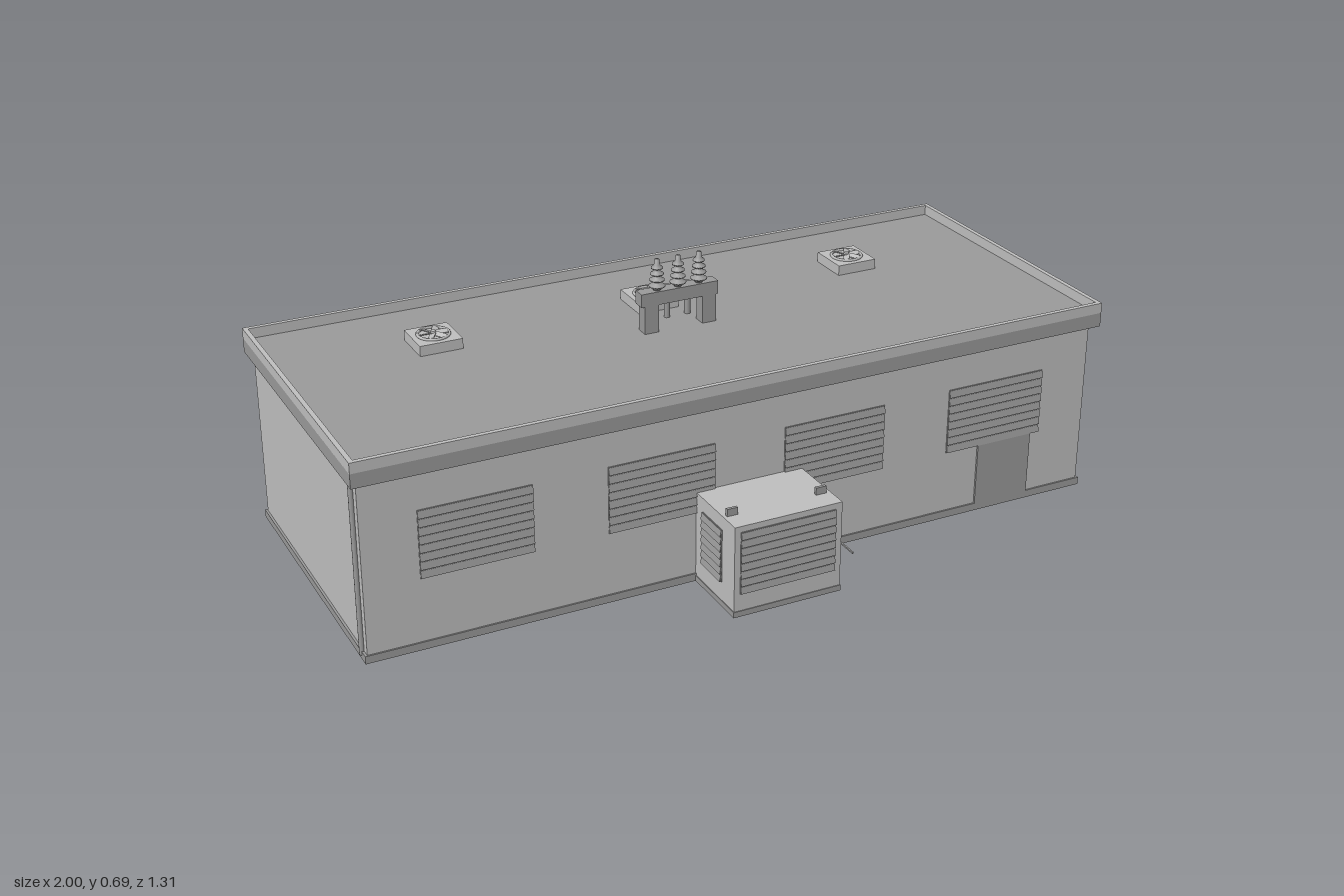
import * as THREE from 'three';

export function createModel() {
  const model = new THREE.Group();
  const mat = (name, color) => {
    const m = new THREE.MeshStandardMaterial({ color });
    m.name = name;
    return m;
  };
  const light = mat('light grey wall', 0xc0c0c0);
  const dark = mat('mid grey metal', 0x9b9b9b);

  const add = (name, geometry, material, parent = model) => {
    const mesh = new THREE.Mesh(geometry, material);
    mesh.name = name;
    parent.add(mesh);
    return mesh;
  };
  // Box given by its limits on each axis
  const box = (name, x0, x1, y0, y1, z0, z1, material, parent) => {
    const mesh = add(name, new THREE.BoxGeometry(x1 - x0, y1 - y0, z1 - z0), material, parent);
    mesh.position.set((x0 + x1) / 2, (y0 + y1) / 2, (z0 + z1) / 2);
    return mesh;
  };
  const cylinder = (name, r0, r1, x, y0, y1, z, material, sides = 16, parent = model) => {
    const mesh = add(name, new THREE.CylinderGeometry(r1, r0, y1 - y0, sides), material, parent);
    mesh.position.set(x, (y0 + y1) / 2, z);
    return mesh;
  };
  // Slatted panel facing +z, with its back at the group origin
  const louver = (name, width, height, slats) => {
    const group = new THREE.Group();
    group.name = name;
    box('louverBacking', -width / 2, width / 2, -height / 2, height / 2, 0, 0.002, dark, group);
    const pitch = height / slats;
    for (let i = 0; i < slats; i++) {
      const slat = add('louverSlat', new THREE.BoxGeometry(width, pitch * 0.85, 0.002), dark, group);
      slat.position.set(0, -height / 2 + (i + 0.5) * pitch, 0.004);
      slat.rotation.x = -0.2;
    }
    model.add(group);
    return group;
  };

  // Main hall
  box('hallWalls', -0.982, 0.982, 0.015, 0.462, -0.368, 0.407, light);
  box('hallPlinth', -0.988, 0.988, 0, 0.02, -0.373, 0.411, dark);
  for (const s of [-1, 1]) {
    cylinder('downpipe', 0.007, 0.007, s * 0.985, 0.01, 0.462, 0.38, dark, 10);
  }

  // Roof slab with a raised rim
  box('roofSlab', -1, 1, 0.46, 0.497, -0.39, 0.43, dark);
  const rim = new THREE.Shape();
  rim.moveTo(-1, -0.43).lineTo(1, -0.43).lineTo(1, 0.39).lineTo(-1, 0.39).closePath();
  const opening = new THREE.Path();
  opening.moveTo(-0.988, -0.418).lineTo(-0.988, 0.378).lineTo(0.988, 0.378).lineTo(0.988, -0.418).closePath();
  rim.holes.push(opening);
  const rimMesh = add('roofRim', new THREE.ExtrudeGeometry(rim, { depth: 0.028, bevelEnabled: false }), light);
  rimMesh.rotation.x = -Math.PI / 2;
  rimMesh.position.y = 0.496;

  // Front louvers and door
  for (const x of [-0.705, -0.235, 0.235, 0.705]) {
    louver('wallLouver', 0.28, 0.175, 8).position.set(x, 0.273, 0.407);
  }
  box('door', 0.66, 0.82, 0.02, 0.19, 0.405, 0.412, dark);

  // Rear window flaps, standing open
  for (let i = 0; i < 6; i++) {
    const x = -0.785 + i * 0.3135;
    box('windowFlap', x - 0.057, x + 0.057, 0.343, 0.347, -0.417, -0.366, light);
  }

  // Roof fans
  for (const x of [-0.59, 0, 0.587]) {
    const fan = new THREE.Group();
    fan.name = 'roofFan';
    fan.position.set(x, 0.497, -0.143);
    box('fanBox', -0.056, 0.056, 0, 0.027, -0.056, 0.056, light, fan);
    const ring = add('fanRing', new THREE.TorusGeometry(0.04, 0.004, 6, 24), light, fan);
    ring.rotation.x = Math.PI / 2;
    ring.position.y = 0.029;
    for (let i = 0; i < 6; i++) {
      const blade = add('fanBlade', new THREE.BoxGeometry(0.034, 0.002, 0.016).translate(0.021, 0, 0), light, fan);
      blade.rotation.set(0.3, i * Math.PI / 3, 0, 'YXZ');
      blade.position.y = 0.031;
    }
    cylinder('fanHub', 0.01, 0.006, 0, 0.025, 0.037, 0, light, 12, fan);
    model.add(fan);
  }

  // Insulator gantry
  box('gantryBeam', -0.108, 0.105, 0.57, 0.605, 0.002, 0.036, dark);
  for (const s of [-1, 1]) {
    box('gantryLeg', s * 0.08 - 0.019, s * 0.08 + 0.019, 0.495, 0.572, 0.002, 0.036, dark);
  }
  const profile = [new THREE.Vector2(0, 0), new THREE.Vector2(0.01, 0)];
  for (let i = 0; i < 4; i++) {
    const y = 0.008 + i * 0.016;
    const r = 0.021 - i * 0.002;
    profile.push(new THREE.Vector2(0.009, y), new THREE.Vector2(r, y + 0.002),
      new THREE.Vector2(r, y + 0.005), new THREE.Vector2(0.008, y + 0.011));
  }
  profile.push(new THREE.Vector2(0.006, 0.082), new THREE.Vector2(0, 0.082));
  const insulator = new THREE.LatheGeometry(profile, 16);
  for (const x of [-0.058, 0, 0.058]) {
    add('insulator', insulator, dark).position.set(x, 0.604, 0.02);
    cylinder('cablePost', 0.008, 0.008, x, 0.495, 0.585, -0.042, dark, 10);
  }

  // Front and rear annexes
  for (const [name, z0, z1, lugZ] of [['front', 0.4, 0.605, 0.545], ['rear', -0.567, -0.36, -0.513]]) {
    box(name + 'Annex', -0.145, 0.143, 0.012, 0.241, z0, z1, light);
    box(name + 'AnnexPlinth', -0.147, 0.145, 0, 0.015, z0 - 0.002, z1 + 0.002, dark);
    for (const x of [-0.122, 0.117]) {
      box('liftingLug', x - 0.014, x + 0.014, 0.24, 0.26, lugZ - 0.004, lugZ + 0.004, dark);
    }
    const side = louver(name + 'SideLouver', 0.1, 0.14, 7);
    side.position.set(-0.145, 0.135, (z0 + z1) / 2 - 0.01);
    side.rotation.y = -Math.PI / 2;
  }
  louver('annexLouver', 0.255, 0.165, 8).position.set(-0.002, 0.143, 0.605);

  // Thin side rods on the annexes
  box('frontRod', 0.143, 0.147, 0.126, 0.13, 0.41, 0.657, dark);
  box('rearRod', 0.143, 0.147, 0.126, 0.13, -0.62, -0.37, dark);

  // Open shutters and exhaust on the rear annex
  for (const x of [-0.052, 0.047]) {
    box('rearShutter', x - 0.043, x + 0.043, 0.117, 0.121, -0.657, -0.566, light);
  }
  cylinder('exhaustPipe', 0.018, 0.018, 0.07, 0.24, 0.33, -0.394, dark);
  cylinder('exhaustCap', 0.025, 0.021, 0.07, 0.328, 0.347, -0.394, dark);

  return model;
}
